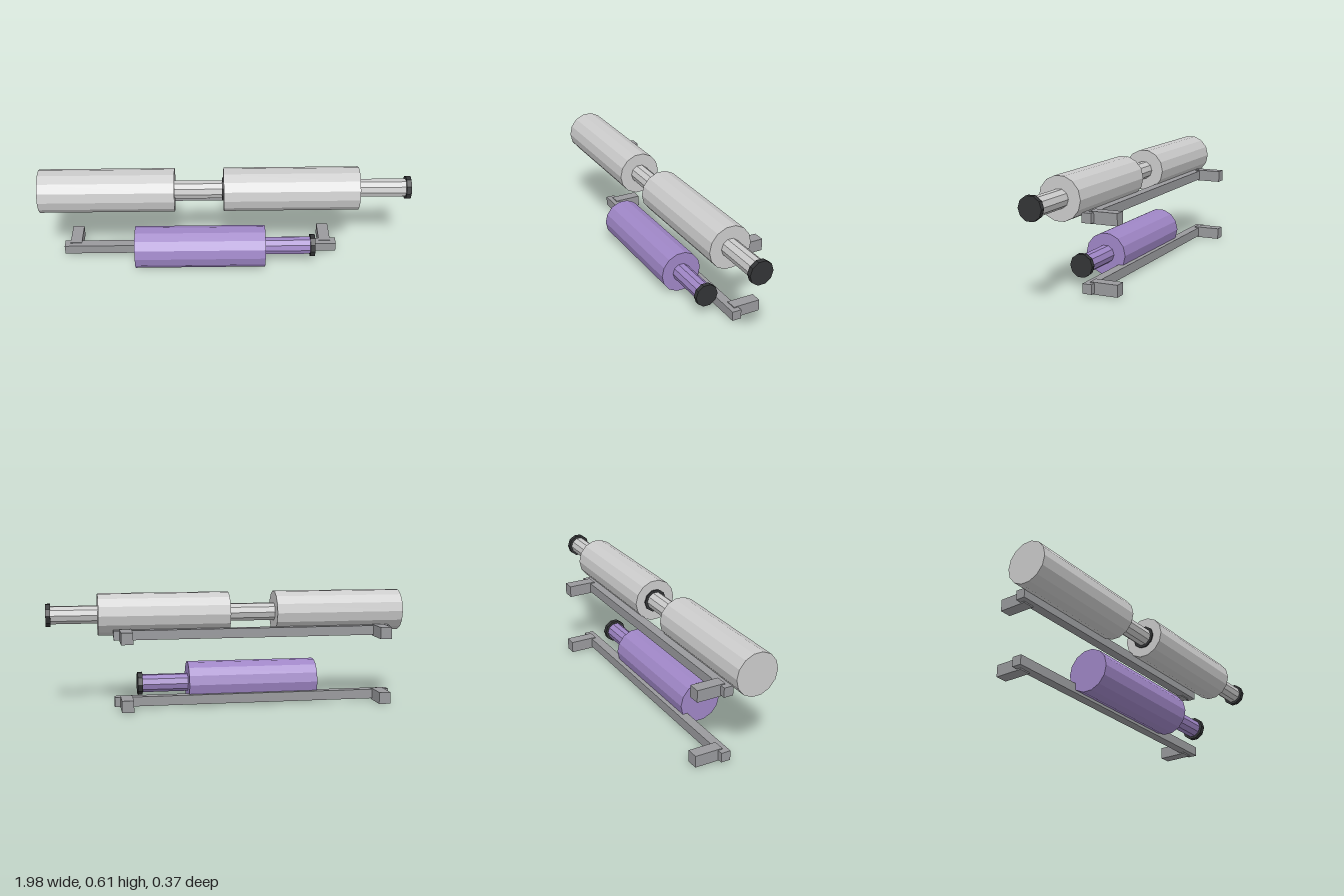
import * as THREE from 'three';

const mat = (color) => new THREE.MeshStandardMaterial({ color, flatShading: true });

export function createModel() {
  const model = new THREE.Group();
  const clearGlass = mat(0xcccccc);
  const purpleGlass = mat(0x9f86c6);
  const capMaterial = mat(0x333436);
  const metal = mat(0x999a9d);

  // Faceted cylinder lying along x, from x0 to x1
  function rod(name, radius, sides, x0, x1, material) {
    const geometry = new THREE.CylinderGeometry(radius, radius, x1 - x0, sides);
    geometry.rotateZ(-Math.PI / 2);
    const mesh = new THREE.Mesh(geometry, material);
    mesh.position.x = (x0 + x1) / 2;
    mesh.name = name;
    return mesh;
  }

  function box(name, x, y, z) {
    const mesh = new THREE.Mesh(new THREE.BoxGeometry(x[1] - x[0], y[1] - y[0], z[1] - z[0]), metal);
    mesh.position.set((x[0] + x[1]) / 2, (y[0] + y[1]) / 2, (z[0] + z[1]) / 2);
    mesh.name = name;
    return mesh;
  }

  // Bottle on its side: body, neck and dark cap, base at x
  function bottle(name, x, y, glass) {
    const group = new THREE.Group();
    group.name = name;
    group.add(
      rod('bottleBody', 0.116, 14, 0, 0.72, glass),
      rod('bottleNeck', 0.05, 10, 0.70, 0.99, glass),
      rod('bottleCap', 0.064, 10, 0.972, 0.998, capMaterial),
    );
    group.position.set(x, y, 0.072);
    model.add(group);
  }

  // Rail with two wall brackets behind it
  function rack(name, y) {
    const group = new THREE.Group();
    group.name = name;
    group.add(box('rail', [-0.92, 0.62], [0.011, 0.063], [-0.057, -0.005]));
    for (const x of [-0.857, 0.557]) {
      group.add(box('wallBracket', [x - 0.032, x + 0.032], [0.004, 0.068], [-0.186, -0.032]));
    }
    group.position.y = y;
    model.add(group);
  }

  rack('lowerRack', 0);
  rack('upperRack', 0.362);
  bottle('lowerBottle', -0.51, 0.114, purpleGlass);
  bottle('upperRightBottle', -1, 0.502, clearGlass);
  bottle('upperLeftBottle', -0.02, 0.502, clearGlass);

  return model;
}
